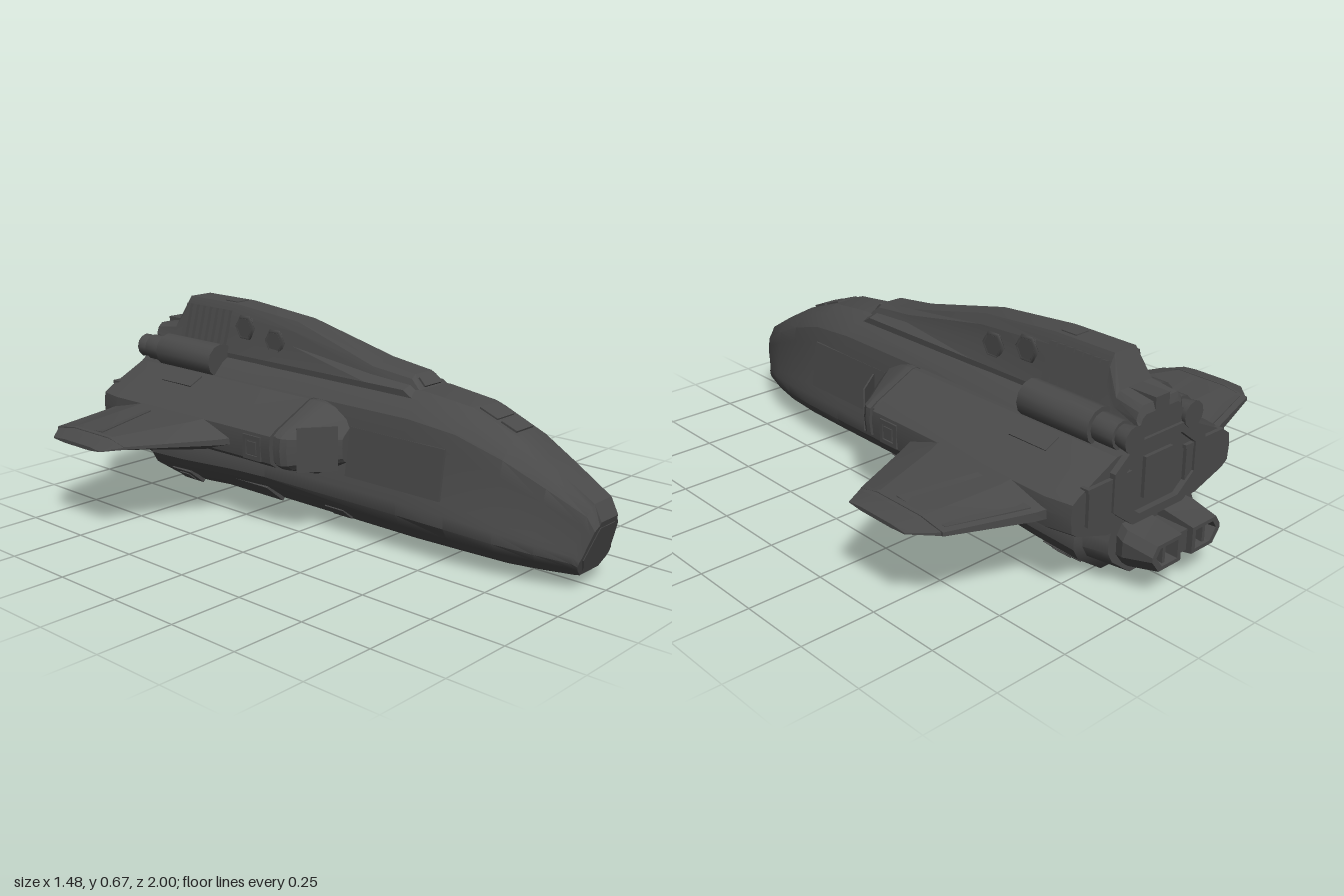
import * as THREE from 'three';
import { toCreasedNormals } from 'three/addons/utils/BufferGeometryUtils.js';

const hullGrey = new THREE.MeshStandardMaterial({ color: 0x4a4a4a });
hullGrey.name = 'hull grey';

// Skin a series of closed rings of [x, y, z] points, capped at both ends
function loft(rings, crease = 0.5) {
  const n = rings[0].length, tris = [];
  const centre = r => [0, 1, 2].map(k => r.reduce((s, p) => s + p[k], 0) / n);
  const first = rings[0], last = rings[rings.length - 1];
  const c0 = centre(first), c1 = centre(last);
  for (let j = 0; j < n; j++) {
    const k = (j + 1) % n;
    tris.push([c0, first[j], first[k]], [c1, last[k], last[j]]);
    for (let i = 0; i < rings.length - 1; i++) {
      const a = rings[i], b = rings[i + 1];
      tris.push([a[j], b[j], a[k]], [a[k], b[j], b[k]]);
    }
  }
  // the signed volume tells whether the faces point outward
  let volume = 0;
  const A = new THREE.Vector3(), B = new THREE.Vector3(), C = new THREE.Vector3();
  for (const t of tris) volume += A.fromArray(t[0]).dot(B.fromArray(t[1]).cross(C.fromArray(t[2])));
  if (volume < 0) tris.forEach(t => t.reverse());
  const g = new THREE.BufferGeometry();
  g.setAttribute('position', new THREE.Float32BufferAttribute(tris.flat(2), 3));
  return toCreasedNormals(g, crease);
}

// Half outline (bottom to top) mirrored into a ring
const mirrorRing = half => [...half, ...half.slice().reverse().map(([x, y, z]) => [-x, y, z])];

export function createModel() {
  const model = new THREE.Group();
  model.name = 'shuttle';

  function add(name, geometry, pos = [0, 0, 0], rot = [0, 0, 0]) {
    const m = new THREE.Mesh(geometry, hullGrey);
    m.name = name;
    m.position.set(...pos);
    m.rotation.set(...rot);
    model.add(m);
    return m;
  }
  const box = (name, size, pos, rot) => add(name, new THREE.BoxGeometry(...size), pos, rot);

  // Fuselage: z, bottom y, top y, half width, bottom half width, top half width, nose rake
  const hull = [
    [1, 0.045, 0.22, 0.085, 0.05, 0.045, 0.06],
    [0.975, 0.044, 0.27, 0.097, 0.055, 0.045, 0.05],
    [0.85, 0.038, 0.345, 0.137, 0.07, 0.05, 0.02],
    [0.71, 0.03, 0.42, 0.17, 0.08, 0.055, 0],
    [0.55, 0.03, 0.48, 0.197, 0.09, 0.06, 0],
    [0.37, 0.03, 0.5, 0.205, 0.1, 0.065, 0],
    [-0.2, 0.03, 0.5, 0.21, 0.1, 0.07, 0],
    [-0.35, 0.028, 0.5, 0.22, 0.1, 0.07, 0],
    [-0.6, 0.008, 0.5, 0.225, 0.1, 0.07, 0],
    [-0.77, 0, 0.5, 0.225, 0.1, 0.07, 0],
    [-0.79, 0.02, 0.5, 0.21, 0.09, 0.07, 0],
    [-0.87, 0.03, 0.48, 0.19, 0.09, 0.07, 0]
  ];
  add('fuselage', loft(hull.map(([z, yb, yt, w, b, t, rake]) => mirrorRing(
    [[b, 0], [w * 0.9, 0.14], [w, 0.22], [w, 0.31], [w * 0.93, 0.38],
      [w * 0.81, 0.72], [w * 0.74, 0.85], [Math.max(t, w * 0.55), 0.94], [t, 1]]
      .map(([x, v]) => [x, yb + (yt - yb) * v, z - rake * (1 - v)])
  ))));

  // Nose panel following the raked front
  add('nosePanel', loft([0, 0.006].map(d => mirrorRing(
    [[0.045, 0.06], [0.068, 0.1], [0.04, 0.2]].map(([x, y]) => [x, y, 1 - 0.06 * (0.22 - y) / 0.175 - 0.003 + d])))));

  // Dorsal spine: z, top y, top half width, shoulder half width
  const spine = [
    [0.36, 0.49, 0.06, 0.07], [0.31, 0.54, 0.04, 0.066], [0.15, 0.56, 0.042, 0.068],
    [-0.2, 0.64, 0.042, 0.07], [-0.5, 0.665, 0.045, 0.075], [-0.735, 0.665, 0.045, 0.075],
    [-0.78, 0.57, 0.07, 0.09], [-0.87, 0.555, 0.075, 0.1], [-0.88, 0.53, 0.07, 0.09]
  ];
  add('dorsalSpine', loft(spine.map(([z, y, t, s]) => mirrorRing([
    [0.1, 0.44, z], [0.1, Math.min(0.5, y - 0.02), z],
    [s, y - (y - 0.48) * 0.5, z], [(t + s) / 2 + 0.004, y - (y - 0.48) * 0.2, z], [t, y, z]
  ])), 0.3));

  // Cockpit windows and top hatches
  box('cockpitWindow', [0.085, 0.009, 0.06], [0, 0.437, 0.67], [0.36, 0, 0]);
  box('cockpitHatch', [0.085, 0.009, 0.07], [0, 0.464, 0.595], [0.36, 0, 0]);
  box('spineScreen', [0.08, 0.009, 0.035], [0, 0.518, 0.335], [0.78, 0, 0]);
  box('spineHatch', [0.055, 0.009, 0.06], [0, 0.664, -0.54]);
  box('tailRidge', [0.06, 0.04, 0.1], [0, 0.55, -0.83]);

  for (const s of [1, -1]) {
    const ring = (pts, z) => pts.map(([x, y]) => [s * x, y, z]);

    // Wing root with intake in front and a groove between them
    const root = [[0.1, 0.19], [0.2, 0.19], [0.33, 0.232], [0.355, 0.25], [0.36, 0.3],
      [0.355, 0.34], [0.33, 0.357], [0.175, 0.43], [0.1, 0.43]];
    const shrink = k => root.map(([x, y]) => [x > 0.1 ? 0.1 + (x - 0.1) * k : x, 0.31 + (y - 0.31) * (0.5 + k / 2)]);
    add('wingRoot', loft([
      ring(shrink(0.94), 0.01), ring(shrink(0.94), -0.02), ring(root, -0.02), ring(root, -0.2),
      ring(shrink(1.04), -0.78), ring(shrink(0.97), -0.87)], 0.25));
    add('intake', loft([ring(shrink(0.4), 0.15), ring(shrink(0.94), 0.04),
      ring(shrink(0.98), 0.02), ring(shrink(0.98), 0)], 0.25));
    add('intakePanel', loft([[0.45, 0.143], [0.85, 0.063]].map(([k, z]) =>
      [[0.232, 1], [0.378, 1], [0.378, 0], [0.232, 0]].map(([y, o]) =>
        [s * (0.1 + 0.26 * k + o * 0.004), y, z + o * 0.004]))));

    // Outer wing: x, leading z, trailing z, bottom y, top y
    const wing = (name, stations) => add(name, loft(stations.map(([x, zl, zt, yb, yt]) => {
      const m = (yb + yt) / 2, h = (yt - yb) / 2, c = zl - zt;
      return [[zl, m + h * 0.2], [zl - c * 0.22, yt], [zl - c * 0.75, yt], [zt, m + h * 0.3],
        [zt, m - h * 0.3], [zl - c * 0.75, yb], [zl - c * 0.22, yb], [zl, m - h * 0.2]]
        .map(([z, y]) => [s * x, y, z]);
    }), 0.2));
    wing('outerWing', [[0.33, -0.19, -0.8, 0.235, 0.345], [0.4, -0.225, -0.785, 0.243, 0.337],
      [0.67, -0.355, -0.705, 0.284, 0.325]]);
    wing('wingTip', [[0.66, -0.35, -0.705, 0.28, 0.327], [0.68, -0.36, -0.69, 0.288, 0.318],
      [0.74, -0.39, -0.63, 0.296, 0.308]]);
    add('aileron', loft([[0.4, -0.55, -0.765], [0.65, -0.49, -0.69]].map(([x, z0, z1], i) =>
      [[z0, 0], [z1, -0.028 + i * 0.014], [z1, -0.034 + i * 0.014], [z0, -0.006]]
        .map(([z, y]) => [s * x, 0.34 - i * 0.011 + y, z]))));

    // Square port in the side of the wing root
    for (const e of [1, -1]) {
      box('portFrame', [0.01, 0.014, 0.08], [s * 0.357, 0.29 + e * 0.033, -0.1]);
      box('portFrame', [0.01, 0.08, 0.014], [s * 0.357, 0.29, -0.1 + e * 0.033]);
    }
    box('portCore', [0.01, 0.04, 0.04], [s * 0.358, 0.29, -0.1]);
    box('rootVent', [0.06, 0.009, 0.15], [s * 0.22, 0.411, -0.595], [0, 0, -s * 0.44]);

    // Shoulder pods beside the spine, with nozzles behind
    const pod = (name, r1, r2, z0, z1) => add(name,
      toCreasedNormals(new THREE.CylinderGeometry(r1, r2, z0 - z1, 12), 0.6),
      [s * 0.13, 0.475, (z0 + z1) / 2], [Math.PI / 2, 0, 0]);
    pod('shoulderPod', 0.06, 0.06, -0.49, -0.77);
    pod('podCollar', 0.045, 0.045, -0.77, -0.85);
    pod('podNozzle', 0.035, 0.042, -0.85, -0.895);

    // Hexagonal ports and slatted vents on the spine flanks
    for (const [z, y] of [[-0.275, 0.565], [-0.42, 0.595]]) {
      add('hexPortRim', new THREE.TorusGeometry(0.04, 0.008, 4, 6).toNonIndexed(), [s * 0.078, y, z], [0, Math.PI / 2, 0]);
      add('hexPort', new THREE.CylinderGeometry(0.036, 0.036, 0.03, 6), [s * 0.068, y, z], [0, 0, Math.PI / 2]);
    }
    for (let i = 0; i < 7; i++)
      box('ventSlat', [0.03, 0.13, 0.02], [s * 0.074, 0.578, -0.515 - i * 0.034], [0, 0, s * 0.28]);

    // Side door, belly panels and belly hatches
    box('sideDoor', [0.008, 0.16, 0.38], [s * 0.177, 0.288, 0.34], [0, 0, s * 0.155]);
    const belly = (name, z, l, w, x, y) => box(name, [w, 0.012, l], [s * x, y, z], [0, 0, s * 0.7]);
    belly('bellyPanel', -0.345, 0.27, 0.1, 0.148, 0.06);
    belly('bellyHatch', -0.66, 0.1, 0.08, 0.15, 0.034);
    belly('bellyHatchCore', -0.66, 0.05, 0.04, 0.152, 0.031);
    belly('bellyHatch', 0.08, 0.08, 0.06, 0.143, 0.063);

    // Main engine block under the tail
    const block = (x0, x1, y0, y1, z) => [[x0, y0], [x1 - 0.03, y0], [x1, y0 + 0.04],
      [x1, y1 - 0.03], [x1 - 0.02, y1], [x0, y1]].map(([x, y]) => [s * x, y, z]);
    add('engineBlock', loft([block(0.025, 0.15, 0.07, 0.21, -0.85), block(0.025, 0.165, 0.08, 0.2, -0.9),
      block(0.025, 0.152, 0.1, 0.185, -1), block(0.04, 0.138, 0.112, 0.173, -1),
      block(0.045, 0.132, 0.117, 0.168, -0.95)], 0.2));
    box('engineRib', [0.012, 0.07, 0.06], [s * 0.09, 0.143, -0.96]);
    box('rootExhaust', [0.17, 0.11, 0.04], [s * 0.21, 0.31, -0.862]);
    box('exhaustLip', [0.18, 0.012, 0.03], [s * 0.21, 0.368, -0.868]);
  }
  box('engineBridge', [0.06, 0.07, 0.12], [0, 0.14, -0.92]);

  // Octagonal frame around the recessed stern
  const octagon = (P, k) => {
    const pts = [[0.11, 0.2], [0.2, 0.27], [0.2, 0.39], [0.11, 0.46]]
      .map(([x, y]) => [x * k, 0.33 + (y - 0.33) * k]);
    const p = new P();
    p.setFromPoints(mirrorRing(pts.map(([x, y]) => [x, y, 0])).map(([x, y]) => new THREE.Vector2(x, y)));
    p.closePath();
    return p;
  };
  const frame = octagon(THREE.Shape, 1);
  frame.holes.push(octagon(THREE.Path, 0.78));
  add('sternFrame', new THREE.ExtrudeGeometry(frame, { depth: 0.05, bevelEnabled: false }), [0, 0, -0.89]);
  box('sternDoor', [0.12, 0.13, 0.02], [0, 0.33, -0.872]);

  return model;
}
